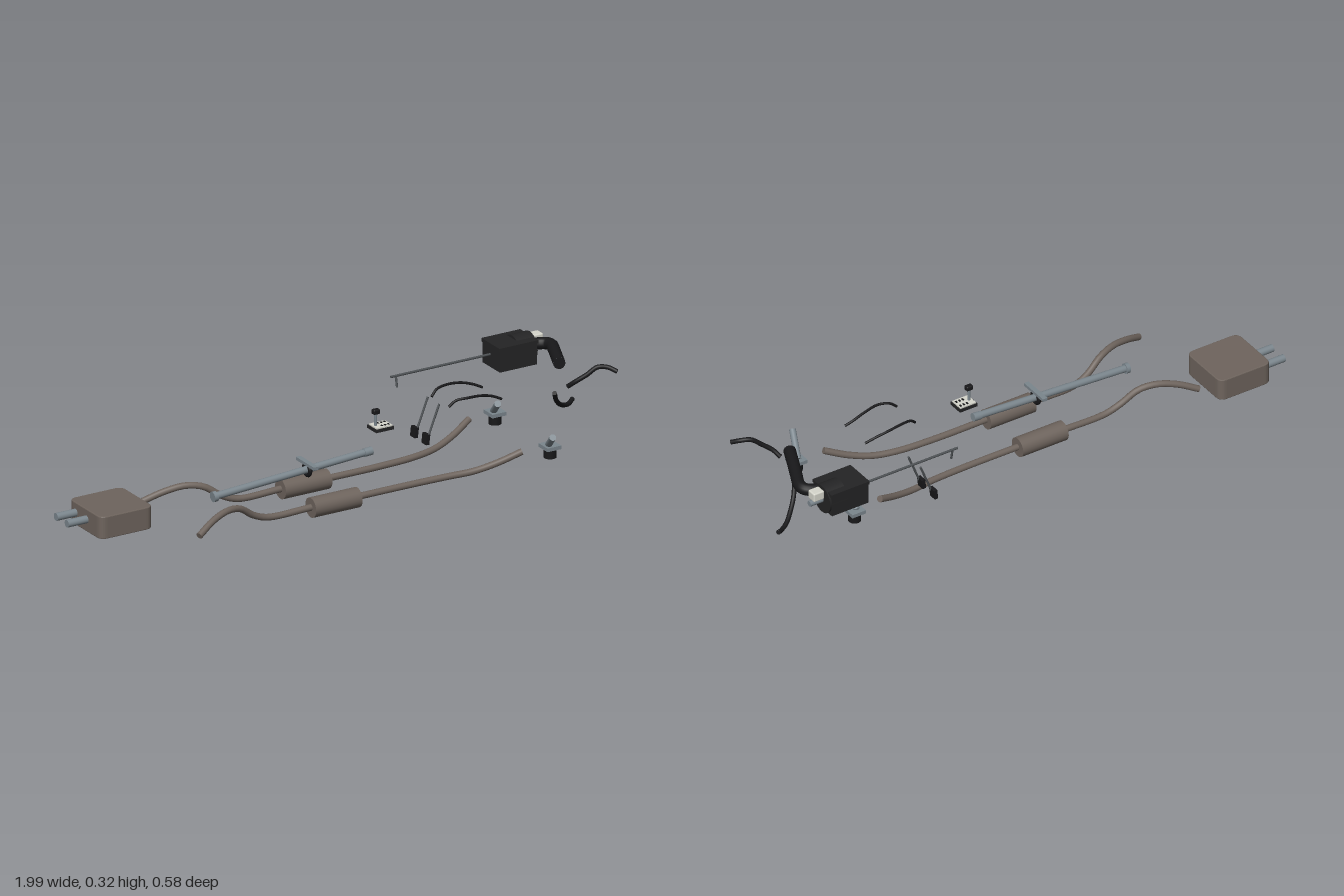
import * as THREE from 'three';
import { RoundedBoxGeometry } from 'three/addons/geometries/RoundedBoxGeometry.js';

const mat = (name, color, side = THREE.FrontSide) => {
  const m = new THREE.MeshStandardMaterial({ color, side });
  m.name = name;
  return m;
};

export function createModel() {
  const root = new THREE.Group();
  const exhaust = mat('exhaust metal', 0x6e645d);
  const steel = mat('steel', 0x7b868d);
  const rubber = mat('black rubber', 0x18181a);
  const plastic = mat('dark plastic', 0x242425);
  const pale = mat('pale plastic', 0xd6d6cc);
  const darkSteel = mat('dark steel', 0x4c5053);

  const V = (p) => new THREE.Vector3(...p);
  const add = (name, geo, m, pos = [0, 0, 0], parent = root) => {
    const mesh = new THREE.Mesh(geo, m);
    mesh.name = name;
    mesh.position.set(...pos);
    parent.add(mesh);
    return mesh;
  };
  const box = (name, m, size, pos) => add(name, new THREE.BoxGeometry(...size), m, pos);
  // Straight cylinder between two points
  const rod = (name, m, a, b, r, r2 = r) => {
    const p = V(a), q = V(b), d = q.clone().sub(p);
    const mesh = add(name, new THREE.CylinderGeometry(r2, r, d.length(), 24), m,
      p.clone().add(q).multiplyScalar(0.5).toArray());
    mesh.quaternion.setFromUnitVectors(new THREE.Vector3(0, 1, 0), d.normalize());
    return mesh;
  };
  // Bent tube through points, with closed ends
  const hose = (name, m, pts, r) => {
    const g = new THREE.Group();
    g.name = name;
    root.add(g);
    const curve = new THREE.CatmullRomCurve3(pts.map(V), false, 'centripetal');
    add(name + 'Tube', new THREE.TubeGeometry(curve, 64, r, 14), m, [0, 0, 0], g);
    for (const t of [0, 1]) {
      const dir = curve.getTangent(t).multiplyScalar(t ? 1 : -1);
      const cap = add(name + 'End', new THREE.CircleGeometry(r, 14), m, curve.getPoint(t).toArray(), g);
      cap.quaternion.setFromUnitVectors(new THREE.Vector3(0, 0, 1), dir);
    }
    return g;
  };

  // Rear silencer: rounded plan shape extruded upwards
  const w = 0.1, d = 0.1, c = 0.025, s = new THREE.Shape();
  s.moveTo(-w + c, -d);
  s.lineTo(w - c, -d);
  s.quadraticCurveTo(w, -d, w, -d + c);
  s.lineTo(w, d - c);
  s.quadraticCurveTo(w, d, w - c, d);
  s.lineTo(-w + c, d);
  s.quadraticCurveTo(-w, d, -w, d - c);
  s.lineTo(-w, -d + c);
  s.quadraticCurveTo(-w, -d, -w + c, -d);
  const silencer = new THREE.ExtrudeGeometry(s, {
    depth: 0.074, bevelThickness: 0.003, bevelSize: 0.003, bevelSegments: 2, curveSegments: 8 });
  silencer.rotateX(-Math.PI / 2);
  add('silencer', silencer, exhaust, [-0.82, 0.033, -0.08]);
  for (const z of [-0.14, -0.07]) rod('tailpipe', steel, [-1, 0.074, z], [-0.9, 0.074, z], 0.0135);

  // Twin exhaust pipes, mirrored about z = 0.057
  for (const k of [-1, 1]) {
    const Z = (o) => 0.057 + k * o;
    hose('exhaustPipe', exhaust, [
      [-0.67, 0.067, Z(0.182)], [-0.6, 0.097, Z(0.155)], [-0.53, 0.111, Z(0.133)],
      [-0.47, 0.1, Z(0.115)], [-0.41, 0.06, Z(0.102)], [-0.35, 0.038, Z(0.097)],
      [-0.18, 0.038, Z(0.097)], [0, 0.038, Z(0.096)], [0.2, 0.038, Z(0.096)],
      [0.35, 0.04, Z(0.104)], [0.44, 0.046, Z(0.121)], [0.52, 0.067, Z(0.143)], [0.6, 0.1, Z(0.17)],
    ], 0.0115);
    rod('resonator', exhaust, [-0.182, 0.037, Z(0.097)], [0, 0.037, Z(0.097)], 0.035);
  }

  // Drive shaft with its centre support
  rod('driveShaft', steel, [-0.5, 0.111, 0.057], [0.11, 0.147, 0.057], 0.0125);
  rod('shaftFlange', steel, [-0.507, 0.11, 0.057], [-0.493, 0.111, 0.057], 0.018);
  rod('shaftCoupling', steel, [0.085, 0.145, 0.057], [0.115, 0.147, 0.057], 0.0145);
  const ring = add('supportRing', new THREE.TorusGeometry(0.0195, 0.0075, 10, 28), rubber, [-0.137, 0.132, 0.057]);
  ring.rotation.y = Math.PI / 2;
  box('supportBar', steel, [0.018, 0.011, 0.115], [-0.137, 0.154, 0.057]);

  // Gear lever
  box('leverBase', plastic, [0.07, 0.011, 0.058], [0.155, 0.221, 0.05]);
  box('leverPlate', pale, [0.062, 0.005, 0.05], [0.155, 0.2285, 0.05]);
  for (const x of [0.152, 0.165, 0.178])
    for (const z of [0.036, 0.062]) box('gateSlot', rubber, [0.007, 0.002, 0.011], [x, 0.231, z]);
  rod('leverStem', steel, [0.135, 0.226, 0.05], [0.135, 0.28, 0.05], 0.005);
  add('leverKnob', new RoundedBoxGeometry(0.026, 0.018, 0.02, 3, 0.005), rubber, [0.136, 0.281, 0.05]);

  // Pedals
  for (const z of [-0.076, -0.149]) {
    rod('pedalArm', darkSteel, [0.418, 0.088, z], [0.461, 0.196, z], 0.0038);
    const pad = box('pedalPad', rubber, [0.013, 0.036, 0.03], [0.413, 0.079, z - 0.007]);
    pad.rotation.z = -0.12;
  }

  // Engine mounts
  for (const z of [0.233, -0.12]) {
    rod('mountRubber', rubber, [0.706, 0.06, z], [0.706, 0.094, z], 0.022);
    box('mountPlate', steel, [0.054, 0.013, 0.057], [0.706, 0.099, z]);
    rod('mountArm', steel, [0.702, 0.102, z - 0.005], [0.67, 0.164, z + 0.077], 0.0115);
  }

  // Control cables
  hose('rearCable', rubber, [[0.385, 0.265, 0], [0.41, 0.284, -0.008], [0.45, 0.289, -0.015],
    [0.51, 0.283, -0.018], [0.555, 0.27, -0.01], [0.585, 0.256, -0.001]], 0.0045);
  hose('frontCable', rubber, [[0.385, 0.265, 0.11], [0.41, 0.284, 0.114], [0.45, 0.289, 0.124],
    [0.51, 0.283, 0.118], [0.555, 0.27, 0.115], [0.585, 0.256, 0.121]], 0.0045);

  // Coolant hoses
  hose('lowerHose', rubber, [[0.855, 0.185, 0.018], [0.873, 0.151, -0.003], [0.9, 0.122, -0.027],
    [0.935, 0.1, -0.055], [0.965, 0.093, -0.072], [0.99, 0.1, -0.088]], 0.008);
  hose('upperHose', rubber, [[0.988, 0.298, 0.202], [0.965, 0.31, 0.178], [0.935, 0.311, 0.162],
    [0.9, 0.286, 0.149], [0.868, 0.262, 0.13], [0.852, 0.241, 0.108]], 0.008);

  // Air box with lid, round housing and outlet duct
  box('airBox', plastic, [0.146, 0.078, 0.111], [0.815, 0.264, -0.203]);
  box('airBoxLid', plastic, [0.152, 0.012, 0.116], [0.815, 0.306, -0.203]);
  rod('roundHousing', plastic, [0.825, 0.27, -0.207], [0.895, 0.27, -0.207], 0.052);
  hose('airDuct', rubber, [[0.855, 0.303, 0.048], [0.883, 0.301, -0.015], [0.91, 0.297, -0.075],
    [0.931, 0.293, -0.125], [0.929, 0.291, -0.15], [0.91, 0.289, -0.168], [0.875, 0.287, -0.178]], 0.021);

  // Fluid cylinder, reservoir and push rod
  rod('fluidCylinder', steel, [0.89, 0.268, -0.207], [0.945, 0.268, -0.207], 0.0105);
  add('fluidReservoir', new RoundedBoxGeometry(0.042, 0.033, 0.037, 3, 0.005), pale, [0.917, 0.296, -0.207]);
  rod('pushRod', darkSteel, [0.353, 0.27, -0.21], [0.75, 0.27, -0.21], 0.0042);
  rod('pushRodArm', darkSteel, [0.373, 0.231, -0.202], [0.373, 0.27, -0.21], 0.0038);

  return root;
}
